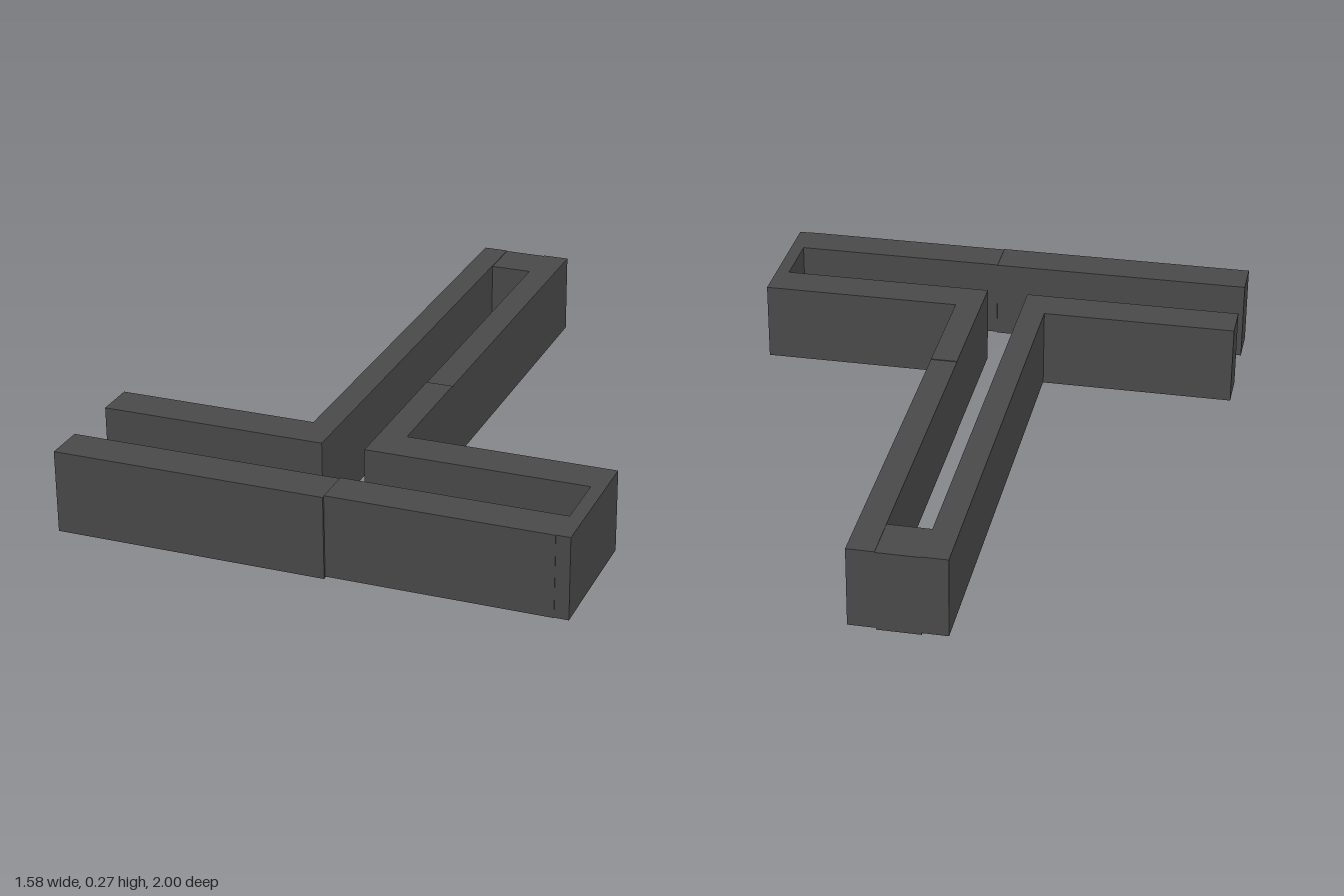
import * as THREE from 'three';

export function createModel() {
  const group = new THREE.Group();
  const material = new THREE.MeshStandardMaterial({ color: 0x4a4a4a, flatShading: true });

  // Upright wall block given by its extents
  function wall(name, x0, x1, z0, z1, y0, y1) {
    const mesh = new THREE.Mesh(new THREE.BoxGeometry(x1 - x0, y1 - y0, z1 - z0), material);
    mesh.name = name;
    mesh.position.set((x0 + x1) / 2, (y0 + y1) / 2, (z0 + z1) / 2);
    group.add(mesh);
  }

  // Walls of the long stem, closed at the back
  wall('stemRightWall', -0.16, -0.08, -1, 0.545, 0.006, 0.264);
  wall('stemLeftWallBack', 0.055, 0.14, -1, 0.155, 0.006, 0.264);
  wall('stemLeftWallFront', 0.055, 0.14, 0.155, 0.545, 0.008, 0.266);
  wall('stemEndBlock', -0.08, 0.055, -1, -0.845, 0, 0.262);

  // Inner walls of the crossbar, parted where the stem opens
  wall('crossbarInnerRight', -0.79, -0.08, 0.545, 0.672, 0.004, 0.264);
  wall('crossbarInnerLeft', 0.055, 0.747, 0.545, 0.672, 0.008, 0.266);

  // Front wall in two lengths, closed at the left end only
  wall('crossbarFrontRight', -0.79, 0.06, 0.87, 1, 0.004, 0.264);
  wall('crossbarFrontLeft', 0.06, 0.747, 0.868, 0.992, 0.008, 0.266);
  wall('crossbarEndCap', 0.747, 0.79, 0.545, 0.99, 0.008, 0.266);

  return group;
}
